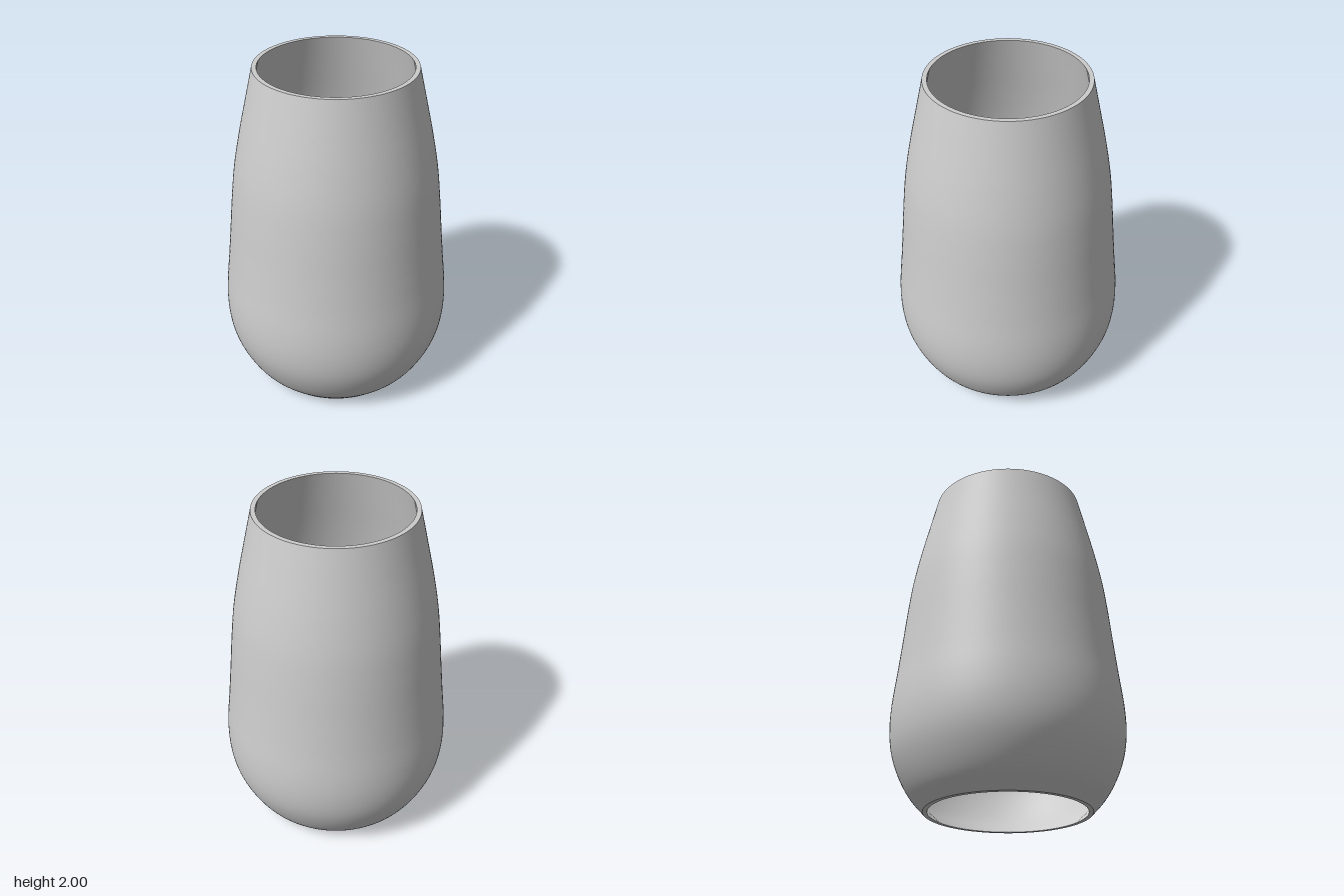
import * as THREE from 'three';

// Outer silhouette as [radius, height], bottom to top
const PROFILE = [
  [0.475, 0], [0.556, 0.09], [0.619, 0.2], [0.662, 0.32], [0.68, 0.45],
  [0.677, 0.6], [0.655, 0.8], [0.634, 1], [0.614, 1.2], [0.589, 1.4],
  [0.551, 1.6], [0.506, 1.8], [0.46, 2],
];
const WALL = 0.027;
const SIDES = 128;

export function createModel() {
  const group = new THREE.Group();
  group.name = 'vase';
  const material = new THREE.MeshStandardMaterial({ color: 0xcccccc });

  const outer = new THREE.SplineCurve(PROFILE.map(([r, y]) => new THREE.Vector2(r, y))).getPoints(72);
  const inner = outer.map((p) => new THREE.Vector2(p.x - WALL, p.y)).reverse();

  // Each surface is its own lathe, so the rims keep sharp edges
  const addLathe = (name, points) => {
    const mesh = new THREE.Mesh(new THREE.LatheGeometry(points, SIDES), material);
    mesh.name = name;
    group.add(mesh);
  };

  addLathe('outerWall', outer);
  addLathe('topRim', [outer[outer.length - 1], inner[0]]);
  addLathe('innerWall', inner);
  addLathe('bottomRim', [inner[inner.length - 1], outer[0]]);

  return group;
}
